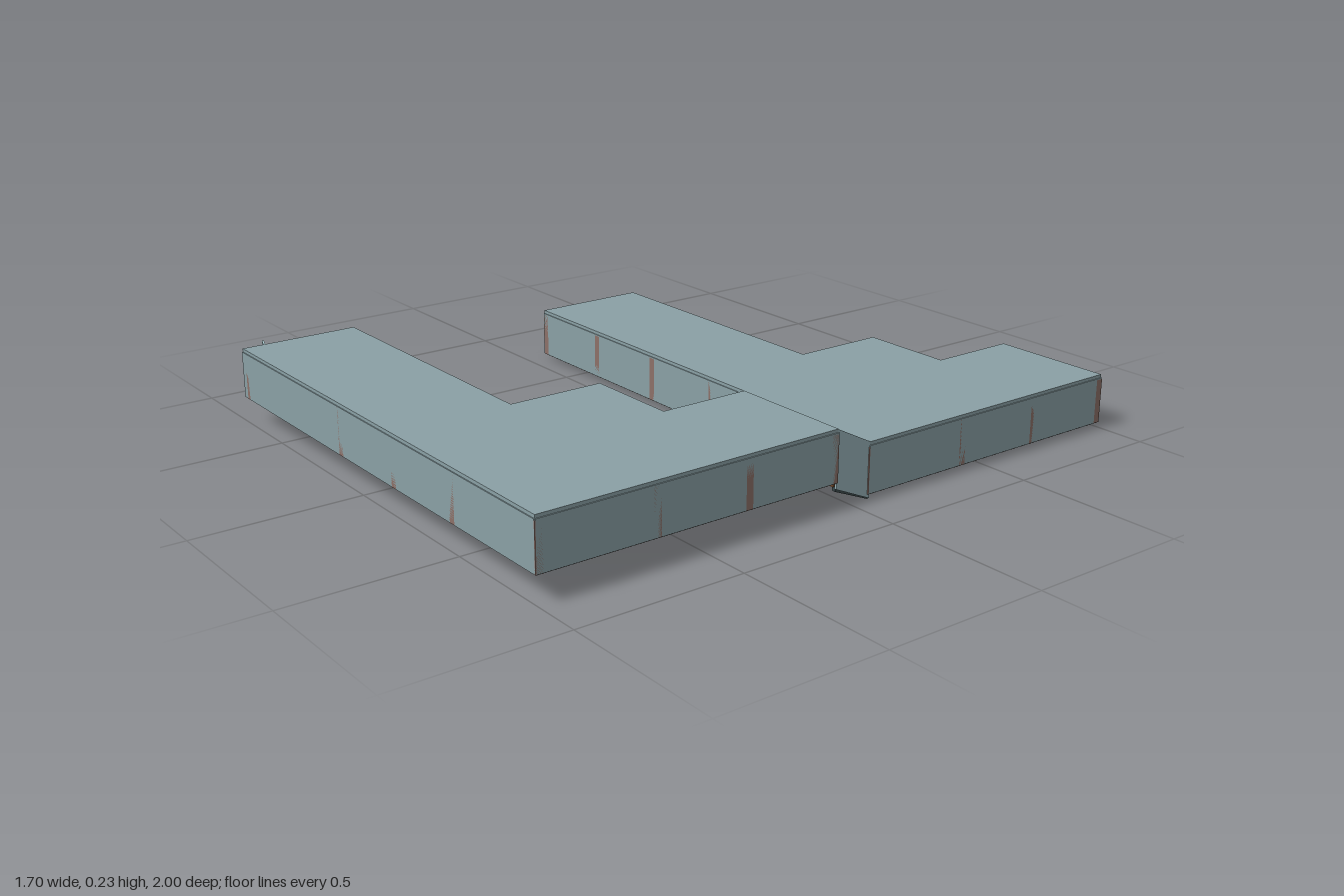
import * as THREE from 'three';

const mat = (name, color) => {
  const m = new THREE.MeshStandardMaterial({ color });
  m.name = name;
  return m;
};

export function createModel() {
  const cladding = mat('grey blue cladding', 0x8aa0a5);
  const glass = mat('pale glass', 0xb0d0d5);
  const passageGlass = mat('passage glass', 0x97b2b8);
  const postMat = mat('rose brown post', 0x8c7068);
  const wood = mat('wood', 0x87552f);
  const floorMat = mat('dark brown floor', 0x6b452d);
  const dark = mat('dark metal', 0x3c4a4c);

  const model = new THREE.Group();
  model.name = 'building';

  const add = (parent, name, geometry, material) => {
    const mesh = new THREE.Mesh(geometry, material);
    mesh.name = name;
    parent.add(mesh);
    return mesh;
  };
  const box = (parent, name, material, w, h, d, x, y, z) => {
    const mesh = add(parent, name, new THREE.BoxGeometry(w, h, d), material);
    mesh.position.set(x, y, z);
    return mesh;
  };
  // horizontal slab from an [x, z] outline
  const slab = (parent, name, material, outline, y, h) => {
    const shape = new THREE.Shape(outline.map(([x, z]) => new THREE.Vector2(x, -z)));
    const g = new THREE.ExtrudeGeometry(shape, { depth: h, bevelEnabled: false });
    g.rotateX(-Math.PI / 2);
    add(parent, name, g, material).position.y = y;
  };
  // upright panel between two plan points
  const panel = (parent, name, material, a, b, y0, y1, t = 0.006) => {
    const dx = b[0] - a[0], dz = b[1] - a[1];
    const p = box(parent, name, material, Math.hypot(dx, dz), y1 - y0, t,
      (a[0] + b[0]) / 2, (y0 + y1) / 2, (a[1] + b[1]) / 2);
    p.rotation.y = -Math.atan2(dz, dx);
    return p;
  };

  // one wing: floor, walls with open edges, posts and flat roof
  const wing = (name, outline, open, posts, y0, y1) => {
    const g = new THREE.Group();
    g.name = name;
    model.add(g);
    slab(g, 'floor', floorMat, outline, y0, 0.006);
    slab(g, 'roof', cladding, outline, y1 - 0.012, 0.012);
    outline.forEach((a, i) => {
      if (open.includes(i)) return;
      panel(g, 'wall', cladding, a, outline[(i + 1) % outline.length], y0 + 0.002, y1 - 0.01);
    });
    posts.forEach(([x, z]) =>
      box(g, 'post', postMat, 0.022, y1 - y0 - 0.016, 0.022, x, (y0 + y1) / 2 - 0.006, z));
    return g;
  };

  const bays = [-0.705, -0.412, -0.118, 0.175];

  // upper front wing, with a doorway in its end wall
  const front = wing('frontWing', [
    [-0.737, 0.997], [0.843, 0.997], [0.843, 0.055], [0.46, 0.055], [0.46, 0.335],
    [0.165, 0.335], [0.165, 0.63], [-0.737, 0.63], [-0.737, 0.72], [-0.737, 0.92],
  ], [2, 8], [
    ...[...bays, 0.47, 0.835].map((x) => [x, 0.989]),
    ...bays.slice(0, 3).map((x) => [x, 0.638]),
    ...[0.645, 0.355, 0.065].map((z) => [0.835, z]),
    [0.47, 0.063], [0.47, 0.343], [0.173, 0.343], [0.173, 0.638],
  ], 0.075, 0.228);
  panel(front, 'doorHeader', cladding, [-0.737, 0.72], [-0.737, 0.92], 0.204, 0.218);

  // lower back wing
  wing('backWing', [
    [0.46, -0.06], [0.843, -0.06], [0.843, -0.998], [0.46, -0.998], [0.46, -0.72],
    [0.165, -0.72], [0.165, -0.425], [-0.713, -0.425], [-0.713, -0.06],
  ], [0], [
    ...[-0.7, -0.407, -0.115, 0.175, 0.47, 0.835].map((x) => [x, -0.068]),
    ...[-0.702, -0.407, -0.117, 0.173].map((x) => [x, -0.418]),
    ...[-0.415, -0.705, -0.989].map((z) => [0.835, z]),
    [0.47, -0.989], [0.47, -0.713], [0.173, -0.713],
  ], 0.015, 0.166);

  // open door leaf with its handle
  const door = new THREE.Group();
  door.name = 'door';
  model.add(door);
  const leaf = panel(door, 'doorLeaf', glass, [-0.737, 0.922], [-0.848, 0.882], 0.078, 0.204);
  const handle = new THREE.Mesh(new THREE.BoxGeometry(0.012, 0.018, 0.014), wood);
  handle.name = 'doorHandle';
  handle.position.set(0.048, 0, 0);
  leaf.add(handle);

  // sloping passage between the wings
  const passage = new THREE.Group();
  passage.name = 'passage';
  model.add(passage);
  const slope = (name, material, profile, x0, x1) => {
    const shape = new THREE.Shape(profile.map(([z, y]) => new THREE.Vector2(-z, y)));
    const g = new THREE.ExtrudeGeometry(shape, { depth: x1 - x0, bevelEnabled: false });
    g.rotateY(Math.PI / 2);
    add(passage, name, g, material).position.x = x0;
  };
  const side = [[0.056, 0.058], [-0.064, 0.004], [-0.064, 0.164], [0.056, 0.226]];
  slope('passageWall', passageGlass, side, 0.461, 0.467);
  slope('passageWall', passageGlass, side, 0.837, 0.843);
  slope('passageRoof', passageGlass,
    [[0.056, 0.218], [-0.064, 0.157], [-0.064, 0.165], [0.056, 0.227]], 0.461, 0.843);

  // stair flight and its dark side stringers
  const steps = 7;
  for (let i = 0; i < steps; i++) {
    box(passage, 'stairTread', wood, 0.366, 0.012, 0.024,
      0.652, 0.014 + i * 0.0092, -0.056 + i * 0.0175);
  }
  for (const x of [0.472, 0.832]) {
    slope('stairStringer', dark,
      [[0.056, 0.05], [-0.064, 0], [-0.064, 0.022], [0.056, 0.076]], x - 0.006, x + 0.006);
  }

  return model;
}
